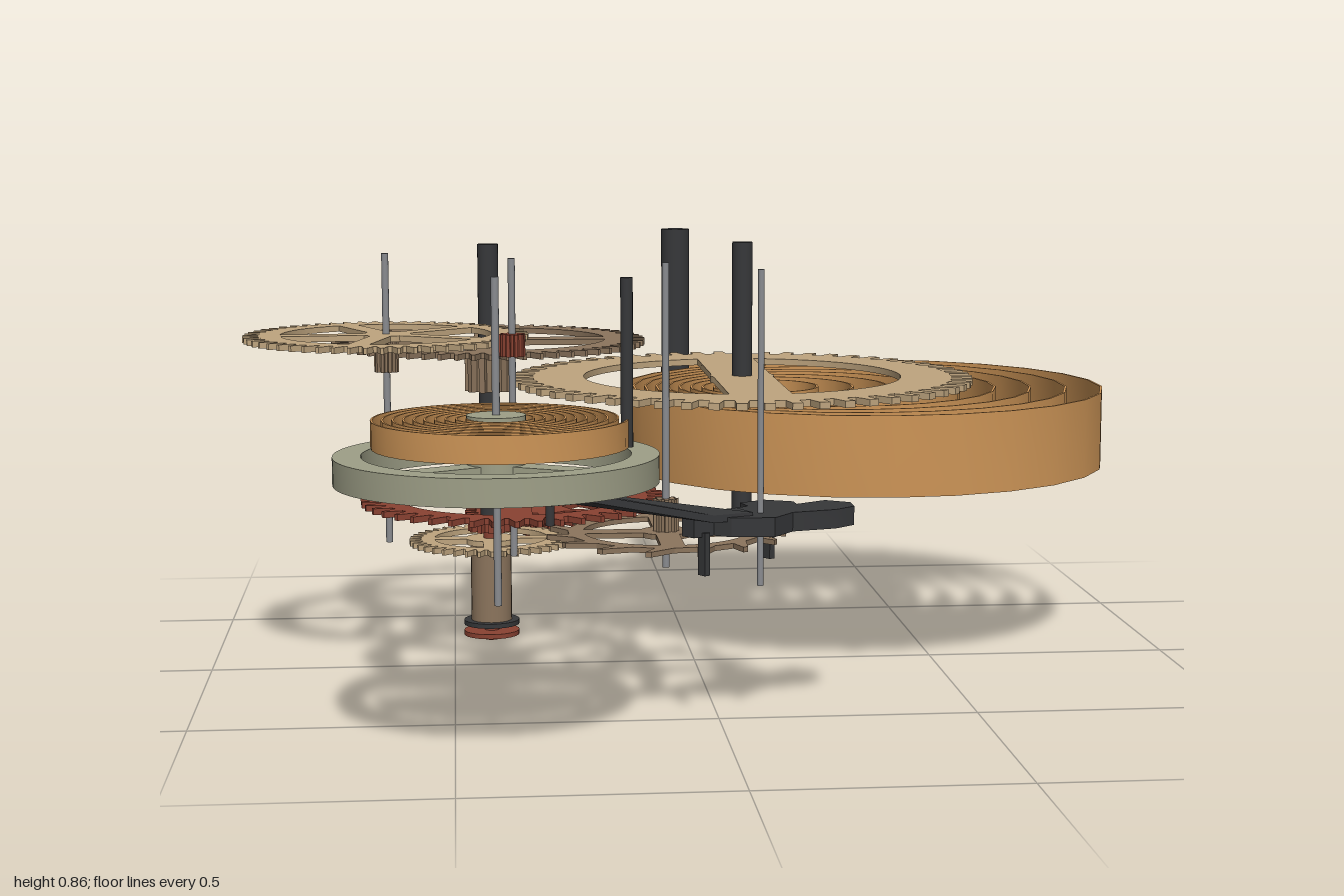
import * as THREE from 'three';
import { toCreasedNormals } from 'three/addons/utils/BufferGeometryUtils.js';

const mat = (color) => new THREE.MeshStandardMaterial({ color });
const TAN = mat(0xbfa57f), BROWN = mat(0x8c755d), RED = mat(0x8a4232), DARK = mat(0x37383a),
  STEEL = mat(0x8a8c90), PALE = mat(0x9fa088), SPRING = mat(0xcd9557);

// Tooth outlines: [fraction of one tooth pitch, 0 = root / 1 = tip]
const SQUARE = [[-0.28, 0], [-0.2, 1], [0.2, 1], [0.28, 0]];
const POINTED = [[-0.38, 0], [-0.1, 1], [0.1, 1], [0.38, 0]];
const HOOKED = [[-0.25, 0], [0.22, 1], [0.34, 1], [0.2, 0]];

export function createModel() {
  const model = new THREE.Group();

  function add(name, geo, material, x = 0, y = 0, z = 0, parent = model) {
    const mesh = new THREE.Mesh(geo, material);
    mesh.name = name;
    mesh.position.set(x, y, z);
    parent.add(mesh);
    return mesh;
  }

  // Flat plate drawn in (x, z), occupying y from 0 to h
  function plate(shape, h) {
    const geo = new THREE.ExtrudeGeometry(shape, { depth: h, bevelEnabled: false, curveSegments: 40 });
    geo.rotateX(Math.PI / 2).translate(0, h, 0);
    return toCreasedNormals(geo, 0.45);
  }

  // Upright round bar between two heights
  function rod(name, x, z, r, y0, y1, material, sides = 16) {
    return add(name, new THREE.CylinderGeometry(r, r, y1 - y0, sides), material, x, (y0 + y1) / 2, z);
  }

  // Toothed or plain wheel with straight spokes
  function wheelShape({ teeth = 0, profile = POINTED, root, tip, rim = 0, hub = 0, spokes = 0, width = 0, phase = 0 }) {
    const shape = new THREE.Shape();
    if (teeth) {
      const pts = [];
      for (let i = 0; i < teeth; i++) {
        for (const [f, t] of profile) {
          const a = ((i + f) / teeth) * Math.PI * 2, r = root + (tip - root) * t;
          pts.push(new THREE.Vector2(Math.cos(a) * r, Math.sin(a) * r));
        }
      }
      shape.setFromPoints(pts);
    } else shape.absarc(0, 0, tip, 0, Math.PI * 2);
    for (let i = 0; i < spokes; i++) {
      const a0 = phase + (i / spokes) * Math.PI * 2, a1 = a0 + (Math.PI * 2) / spokes;
      const o = Math.asin(width / 2 / rim), n = Math.asin(Math.min(1, width / 2 / hub));
      const hole = new THREE.Path();
      hole.absarc(0, 0, rim, a0 + o, a1 - o, false);
      hole.absarc(0, 0, hub, a1 - n, a0 + n, true);
      hole.closePath();
      shape.holes.push(hole);
    }
    return shape;
  }
  const wheel = (name, x, y, z, h, material, opts) => add(name, plate(wheelShape(opts), h), material, x, y, z);
  const pinion = (name, x, z, r, y0, y1, material, teeth = 10) =>
    wheel(name, x, y0, z, y1 - y0, material, { teeth, profile: SQUARE, root: r * 0.72, tip: r });

  // Upright thin band following a path of (x, z) points
  function band(name, pts, half, y0, y1) {
    const left = [], right = [];
    pts.forEach((p, i) => {
      const d = pts[Math.min(i + 1, pts.length - 1)].clone().sub(pts[Math.max(i - 1, 0)]).normalize();
      const n = new THREE.Vector2(-d.y, d.x).multiplyScalar(half);
      left.push(p.clone().add(n));
      right.unshift(p.clone().sub(n));
    });
    add(name, plate(new THREE.Shape([...left, ...right]), y1 - y0), SPRING, 0, y0, 0);
  }

  // Mainspring: spiral whose turns drift sideways, hooked to a fixed post
  const coil = [], turns = 10, steps = 260;
  for (let i = 0; i <= steps; i++) {
    const u = i / steps, a = -Math.PI / 2 + (1 - u) * turns * Math.PI * 2, r = 0.03 + 0.514 * u;
    coil.push(new THREE.Vector2(0.13 + 0.263 * u + Math.cos(a) * r, -0.27 + Math.sin(a) * r));
  }
  coil.push(new THREE.Vector2(0.2, -0.845), new THREE.Vector2(0.06, -0.86), new THREE.Vector2(0, -0.838));
  band('mainspring', coil, 0.0025, 0.38, 0.545);
  rod('mainspringPost', 0.03, -0.8, 0.033, 0.27, 0.86, DARK, 24);
  rod('mainspringArbor', 0.13, -0.27, 0.022, 0.27, 0.86, DARK, 24);
  wheel('mainWheel', 0.13, 0.556, -0.27, 0.014, TAN,
    { teeth: 56, profile: SQUARE, root: 0.455, tip: 0.5, rim: 0.345, hub: 0.07, spokes: 2, width: 0.13, phase: Math.PI / 2 });

  // Centre wheel
  const cx = -0.42, cz = -0.25;
  wheel('centreWheel', cx, 0.645, cz, 0.012, BROWN,
    { teeth: 60, root: 0.3, tip: 0.335, rim: 0.25, hub: 0.065, spokes: 4, width: 0.06 });
  pinion('centrePinion', cx, cz, 0.052, 0.545, 0.645, BROWN);
  rod('centreArbor', cx, cz, 0.022, 0.25, 0.86, DARK, 24);

  // Third wheel
  wheel('thirdWheel', -0.63, 0.685, 0.04, 0.012, TAN,
    { teeth: 56, root: 0.255, tip: 0.287, rim: 0.212, hub: 0.05, spokes: 5, width: 0.042, phase: 3.05 });
  pinion('thirdPinion', -0.63, 0.04, 0.025, 0.62, 0.685, BROWN);
  rod('thirdArbor', -0.63, 0.04, 0.007, 0.27, 0.86, STEEL);

  // Fourth wheel
  wheel('fourthWheel', -0.38, 0.378, 0.22, 0.012, RED,
    { teeth: 44, root: 0.265, tip: 0.3, rim: 0.225, hub: 0.07, spokes: 3, width: 0.062, phase: Math.PI / 2 });
  pinion('fourthPinion', -0.38, 0.22, 0.026, 0.668, 0.712, RED);
  rod('fourthArbor', -0.38, 0.22, 0.007, 0.27, 0.86, STEEL);

  // Escape wheel
  wheel('escapeWheel', -0.09, 0.332, 0.367, 0.01, BROWN,
    { teeth: 15, profile: HOOKED, root: 0.19, tip: 0.232, rim: 0.16, hub: 0.05, spokes: 4, width: 0.045 });
  pinion('escapePinion', -0.09, 0.367, 0.025, 0.335, 0.405, BROWN, 8);
  rod('escapeArbor', -0.09, 0.367, 0.007, 0.27, 0.86, STEEL);

  // Pallet anchor with two arms
  const V = (x, y) => new THREE.Vector2(x, y);
  const anchor = new THREE.Shape([V(-0.08, 0.6), V(0.055, 0.49), V(0.045, 0.45), V(0.095, 0.42), V(0.148, 0.445),
    V(0.15, 0.475), V(0.21, 0.435), V(0.255, 0.465), V(0.255, 0.51), V(0.215, 0.545), V(0.13, 0.57),
    V(0.09, 0.625), V(0.01, 0.62), V(-0.02, 0.6), V(-0.06, 0.625)]);
  add('palletAnchor', plate(anchor, 0.036), DARK, 0, 0.372, 0);
  rod('palletArbor', 0.07, 0.565, 0.006, 0.27, 0.86, STEEL);
  for (const [x, z] of [[-0.04, 0.61], [0.1, 0.45]]) {
    const stone = add('palletStone', new THREE.BoxGeometry(0.012, 0.08, 0.02), DARK, x, 0.34, z);
    stone.rotation.y = 0.6;
  }

  // Pallet lever: flat bar bent upwards, ending in a two-pronged fork
  const half = [V(0, 0.03), V(0.08, 0.024), V(0.34, 0.016), V(0.38, 0.034), V(0.425, 0.03), V(0.425, 0.014)];
  const notch = V(0.385, 0);
  const lever = plate(new THREE.Shape([...half, notch, ...half.map((p) => V(p.x, -p.y)).reverse()]), 0.014);
  const pos = lever.attributes.position;
  for (let i = 0; i < pos.count; i++) {
    pos.setY(i, pos.getY(i) + 0.06 * THREE.MathUtils.clamp((pos.getX(i) - 0.08) / 0.26, 0, 1));
  }
  const creased = toCreasedNormals(lever, 0.15);
  add('palletLever', creased, DARK, 0.04, 0.4, 0.57).rotation.y = -2.71;
  rod('guardPin', -0.327, 0.74, 0.008, 0.42, 0.467, DARK);

  // Balance wheel and hairspring
  const bx = -0.42, bz = 0.705;
  wheel('balanceRim', bx, 0.495, bz, 0.05, PALE, { tip: 0.29, rim: 0.243, hub: 0.24, spokes: 0 })
    .geometry = (() => {
      const ring = new THREE.Shape().absarc(0, 0, 0.29, 0, Math.PI * 2);
      ring.holes.push(new THREE.Path().absarc(0, 0, 0.24, 0, Math.PI * 2));
      return plate(ring, 0.05);
    })();
  for (let i = 0; i < 3; i++) {
    const a = -Math.PI / 2 + (i * Math.PI * 2) / 3;
    const spoke = add('balanceSpoke', new THREE.BoxGeometry(0.25, 0.025, 0.05), PALE,
      bx + Math.cos(a) * 0.125, 0.515, bz + Math.sin(a) * 0.125);
    spoke.rotation.y = -a;
  }
  rod('balanceHub', bx, bz, 0.053, 0.5, 0.615, PALE, 32);
  rod('balanceStaff', bx, bz, 0.007, 0.27, 0.86, STEEL);
  const hair = [];
  for (let i = 0; i <= 360; i++) {
    const u = i / 360, a = 0.15 + (1 - u) * 10 * Math.PI * 2, r = 0.045 + 0.187 * u;
    hair.push(V(bx + 0.003 + Math.cos(a) * r, bz + 0.006 + Math.sin(a) * r));
  }
  band('hairspring', hair, 0.0018, 0.56, 0.61);
  rod('hairspringStud', -0.19, 0.745, 0.011, 0.56, 0.86, DARK);

  // Motion work: minute wheel, hour wheel and their pinions
  const mx = -0.3, mz = -0.415;
  pinion('cannonPinion', cx, cz, 0.05, 0.24, 0.262, RED, 12);
  wheel('minuteWheel', mx, 0.245, mz, 0.012, RED,
    { teeth: 36, root: 0.15, tip: 0.175, rim: 0.122, hub: 0.055, spokes: 5, width: 0.03, phase: 0.3 });
  pinion('minutePinion', mx, mz, 0.047, 0.2, 0.245, RED);
  wheel('hourWheel', cx, 0.212, cz, 0.012, TAN,
    { teeth: 40, root: 0.15, tip: 0.176, rim: 0.122, hub: 0.055, spokes: 4, width: 0.035 });
  rod('hourTube', cx, cz, 0.044, 0.035, 0.212, BROWN, 24);
  rod('minuteArbor', cx, cz, 0.016, 0, 0.25, RED, 16);

  // Hands: collar and tapering blade pointing to the back
  function hand(name, length, y, h, material) {
    const group = new THREE.Group();
    group.name = name;
    group.position.set(cx, y, cz);
    const side = [V(0.013, 0), V(0.022, -length * 0.62), V(0.012, -length * 0.88)];
    const blade = new THREE.Shape([...side, V(0, -length), ...side.map((p) => V(-p.x, p.y)).reverse()]);
    add(name + 'Blade', plate(blade, h), material, 0, 0, 0, group);
    add(name + 'Collar', new THREE.CylinderGeometry(0.06, 0.06, h, 24), material, 0, h / 2, 0, group);
    model.add(group);
  }
  hand('hourHand', 0.56, 0.034, 0.01, DARK);
  hand('minuteHand', 0.75, 0.011, 0.01, RED);

  return model;
}
